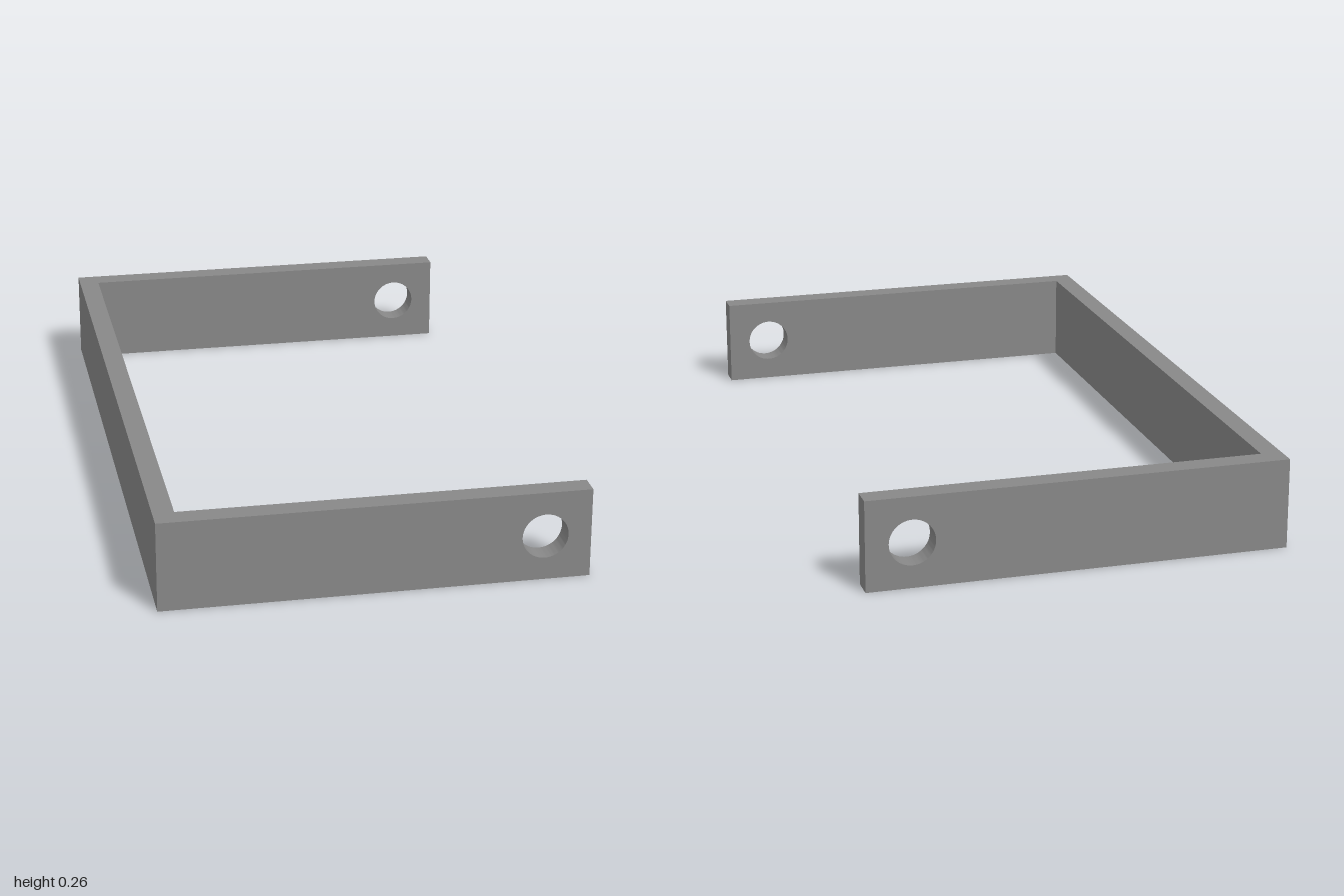
import * as THREE from 'three';
import { toCreasedNormals } from 'three/addons/utils/BufferGeometryUtils.js';

const HALF_X = 0.602, HALF_Z = 1, HEIGHT = 0.26;
const ARM_T = 0.065, WEB_T = 0.06;
const HOLE = { x: 0.472, y: 0.13, r: 0.065 };

export function createModel() {
  const group = new THREE.Group();
  group.name = 'bracket';
  const material = new THREE.MeshStandardMaterial({ color: 0x888888 });

  // Side arm: flat bar with a round bolt hole near its free end
  const profile = new THREE.Shape();
  profile.moveTo(-HALF_X, 0);
  profile.lineTo(HALF_X, 0);
  profile.lineTo(HALF_X, HEIGHT);
  profile.lineTo(-HALF_X, HEIGHT);
  profile.closePath();
  const hole = new THREE.Path();
  hole.absarc(HOLE.x, HOLE.y, HOLE.r, 0, Math.PI * 2, true);
  profile.holes.push(hole);
  const armGeometry = toCreasedNormals(
    new THREE.ExtrudeGeometry(profile, { depth: ARM_T, bevelEnabled: false, curveSegments: 48 }),
    Math.PI / 6
  );

  for (const [name, z] of [['frontArm', HALF_Z - ARM_T], ['backArm', -HALF_Z]]) {
    const arm = new THREE.Mesh(armGeometry, material);
    arm.name = name;
    arm.position.z = z;
    group.add(arm);
  }

  // Cross bar joining the two arms
  const bar = new THREE.Mesh(
    new THREE.BoxGeometry(WEB_T, HEIGHT, 2 * (HALF_Z - ARM_T)),
    material
  );
  bar.name = 'crossBar';
  bar.position.set(-HALF_X + WEB_T / 2, HEIGHT / 2, 0);
  group.add(bar);

  return group;
}
